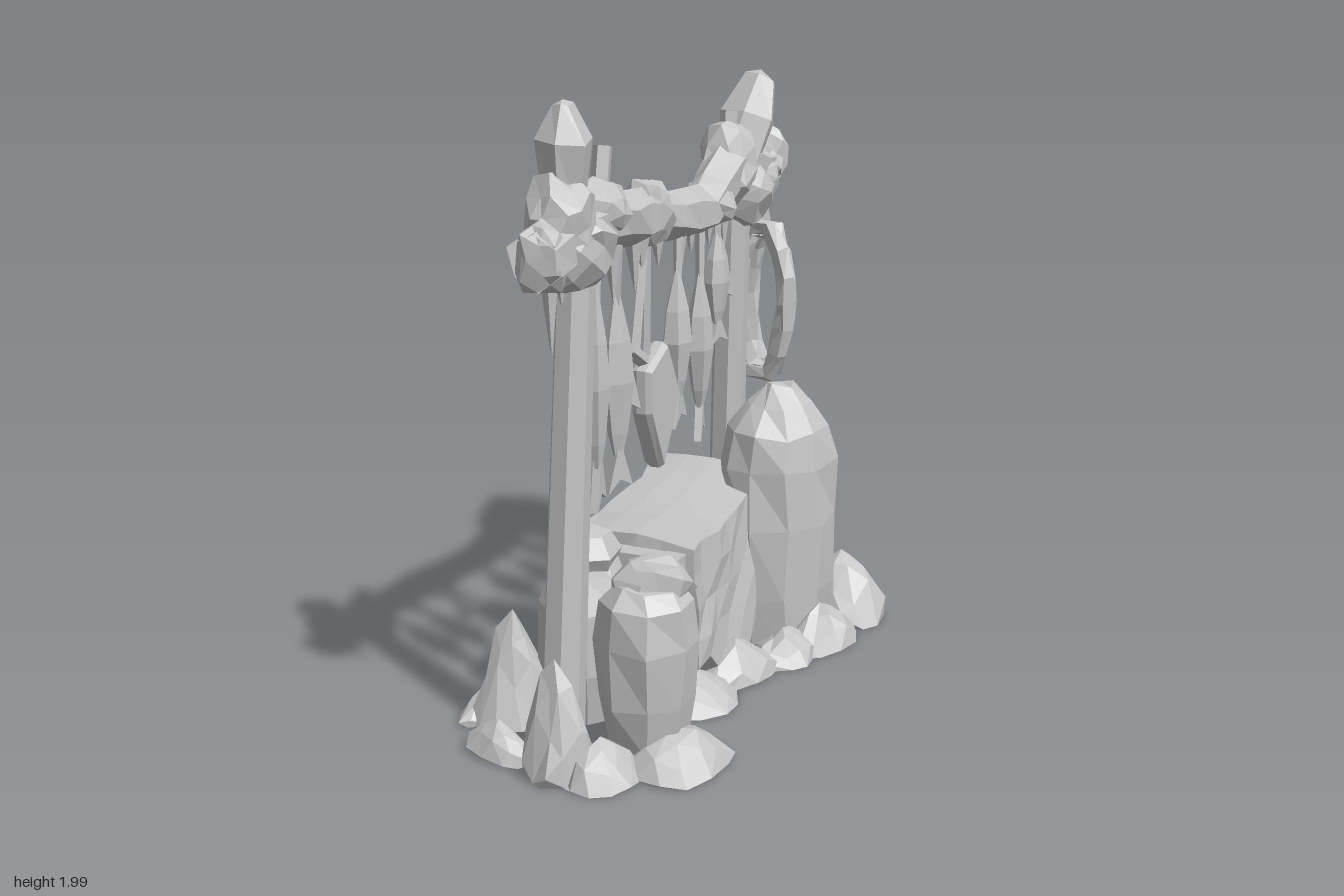
import * as THREE from 'three';

const stone = new THREE.MeshStandardMaterial({ color: 0xc4c4c4 });
stone.name = 'pale grey';
stone.flatShading = true;
stone.side = THREE.DoubleSide;

const V = (x, y, z) => new THREE.Vector3(x, y, z);
const BEAM_ANGLE = 0.354;
const onBeam = (x, y) => V(x, y, -0.05 - 0.37 * x);

// Position-based noise, so shared corners stay together
function noise(x, y, z, seed) {
  const s = Math.sin(Math.round(x * 500) * 12.9898 + Math.round(y * 500) * 78.233 + Math.round(z * 500) * 37.719 + seed * 91.7) * 43758.5453;
  return (s - Math.floor(s)) * 2 - 1;
}

function warp(geo, rule) {
  const p = geo.attributes.position, v = new THREE.Vector3();
  for (let i = 0; i < p.count; i++) {
    v.fromBufferAttribute(p, i);
    rule(v);
    p.setXYZ(i, v.x, v.y, v.z);
  }
  geo.computeVertexNormals();
  return geo;
}

function jitter(geo, amount, seed) {
  return warp(geo, v => {
    const { x, y, z } = v;
    v.set(x + amount * noise(x, y, z, seed), y + amount * noise(x, y, z, seed + 1), z + amount * noise(x, y, z, seed + 2));
  });
}

export function createModel() {
  const model = new THREE.Group();
  model.name = 'dryingRack';

  function add(name, geo, pos = V(0, 0, 0), parent = model) {
    const m = new THREE.Mesh(geo, stone);
    m.name = name;
    m.position.copy(pos);
    parent.add(m);
    return m;
  }

  // Tapered straight pole between two points
  function pole(name, a, b, ra, rb, sides = 7, parent = model) {
    const d = b.clone().sub(a);
    const m = add(name, new THREE.CylinderGeometry(rb, ra, d.length(), sides, 1), a.clone().add(b).multiplyScalar(0.5), parent);
    m.quaternion.setFromUnitVectors(V(0, 1, 0), d.normalize());
    return m;
  }

  // Faceted lump
  function lump(name, pos, rx, ry, rz, seed) {
    const geo = jitter(new THREE.IcosahedronGeometry(1, 1), 0.17, seed);
    geo.scale(rx, ry, rz);
    return add(name, geo, pos);
  }

  // Rock with a flat foot and a narrowing top
  function rock(x, z, rx, h, rz, seed) {
    const geo = jitter(new THREE.IcosahedronGeometry(1, 1), 0.13, seed);
    warp(geo, v => {
      const k = 1.05 - 0.5 * Math.max(0, v.y);
      v.set(v.x * k * rx, v.y < 0 ? Math.max(v.y, -0.1) * 0.1 : v.y * h, v.z * k * rz);
    });
    add('rock', geo, V(x, 0.015, z));
  }

  // Turned shape with a slightly irregular surface
  function turned(name, profile, sides, pos, wobble, seed) {
    const geo = new THREE.LatheGeometry(profile.map(p => new THREE.Vector2(p[0], p[1])), sides);
    return add(name, jitter(geo, wobble, seed), pos);
  }

  // Posts with their pointed heads
  pole('leftPost', V(-0.74, 0.02, 0.2), V(-0.64, 1.6, 0.195), 0.07, 0.057);
  pole('rightPost', V(0.5, 0.02, -0.29), V(0.485, 1.6, -0.235), 0.065, 0.06);
  turned('leftPostHead', [[0, 0], [0.08, 0], [0.06, 0.14], [0.085, 0.33], [0.035, 0.43], [0, 0.45]], 6, V(-0.69, 1.55, 0.2), 0.008, 2);
  const rightHead = turned('rightPostHead', [[0, 0], [0.08, 0], [0.1, 0.26], [0.06, 0.4], [0, 0.43]], 6, V(0.45, 1.58, -0.235), 0.008, 3);
  rightHead.rotation.z = -0.42;

  // Sagging crossbeam
  const beamCurve = new THREE.CatmullRomCurve3([
    [-0.87, 1.57], [-0.6, 1.62], [-0.2, 1.595], [0.2, 1.55], [0.32, 1.62], [0.45, 1.68], [0.6, 1.63], [0.74, 1.62]].map(p => onBeam(...p)));
  add('crossbeam', jitter(new THREE.TubeGeometry(beamCurve, 14, 0.08, 6), 0.01, 5));

  // Bindings, knots and stubs along the beam
  const knots = [
    [-0.66, 1.57, 0.14, 0.12, 0.12], [-0.72, 1.67, 0.1, 0.13, 0.1], [-0.83, 1.58, 0.07, 0.11, 0.08],
    [-0.51, 1.66, 0.12, 0.1, 0.09], [-0.19, 1.6, 0.05, 0.11, 0.1], [0.43, 1.67, 0.1, 0.14, 0.1],
    [0.5, 1.57, 0.12, 0.12, 0.13], [0.62, 1.6, 0.13, 0.09, 0.1], [0.71, 1.66, 0.055, 0.11, 0.1], [0.26, 1.56, 0.1, 0.08, 0.09]];
  knots.forEach(([x, y, rx, ry, rz], i) => { lump('binding', onBeam(x, y), rx, ry, rz, 10 + i).rotation.y = BEAM_ANGLE; });
  pole('leftStub', onBeam(-0.5, 1.64), onBeam(-0.465, 1.84), 0.03, 0.03, 5);
  pole('rightStub', onBeam(0.42, 1.68), onBeam(0.44, 1.85), 0.03, 0.035, 5);
  lump('beamEndCap', V(0.67, 1.67, -0.31), 0.08, 0.1, 0.08, 31);

  // Icicles under the beam
  [[-0.79, 0.25], [-0.73, 0.12], [-0.56, 0.15], [-0.42, 0.18], [-0.28, 0.17], [-0.23, 0.13], [-0.12, 0.12], [0.05, 0.16],
    [0.12, 0.12], [0.26, 0.12], [0.38, 0.17], [0.6, 0.16], [0.66, 0.13], [0.71, 0.2]].forEach(([x, l]) =>
    pole('icicle', onBeam(x, 1.54), onBeam(x + 0.01, 1.54 - l), 0.03, 0.002, 4));

  // Hanging fish: string, body, tail and fin
  function fish(x, top, bottom, w, turn) {
    const g = new THREE.Group(), len = top - bottom;
    g.name = 'hangingFish';
    g.position.copy(onBeam(x, bottom));
    g.rotation.set(0, BEAM_ANGLE + turn, 0);
    const profile = [[0.2, 0.16], [0.6, 0.3], [1, 0.55], [0.8, 0.75], [0.15, 1]].map(p => new THREE.Vector2(p[0] * w, p[1] * len));
    add('fishBody', new THREE.LatheGeometry(profile, 6).scale(1, 1, 0.65), V(0, 0, 0), g);
    const tail = new THREE.Shape([[0, 0.27], [-0.8, 0.0], [0, 0.07], [0.8, 0.03]].map(p => new THREE.Vector2(p[0] * w, p[1] * len)));
    add('fishTail', new THREE.ExtrudeGeometry(tail, { depth: 0.025, bevelEnabled: false }), V(0, 0, -0.0125), g);
    const fin = new THREE.Shape([[0.5, 0.75], [0.5, 0.45], [1.4, 0.4]].map(p => new THREE.Vector2(p[0] * w, p[1] * len)));
    add('fishFin', new THREE.ExtrudeGeometry(fin, { depth: 0.02, bevelEnabled: false }), V(0, 0, -0.01), g);
    pole('fishString', V(0, len * 0.93, 0), V(0.01, 1.57 - bottom, 0), 0.014, 0.018, 4, g);
    model.add(g);
  }
  [[-0.52, 1.44, 0.75, 0.062, 0.2], [-0.39, 1.4, 0.76, 0.058, -0.5], [0.03, 1.38, 0.86, 0.076, 0.1],
    [0.2, 1.34, 0.77, 0.074, 0.3], [0.34, 1.46, 1.06, 0.056, -0.3]].forEach(f => fish(...f));

  // Hanging shovel
  const blade = new THREE.Shape([[-0.09, 0.13], [0.03, 0.19], [0.12, 0.02], [0, -0.19], [-0.09, 0]].map(p => new THREE.Vector2(...p)));
  const shovel = add('shovelBlade', new THREE.ExtrudeGeometry(blade, { depth: 0.03, bevelEnabled: true, bevelSize: 0.01, bevelThickness: 0.02, bevelSegments: 1 }), onBeam(-0.17, 0.98));
  shovel.rotation.y = BEAM_ANGLE;
  pole('shovelHandle', onBeam(-0.16, 1.1), onBeam(-0.32, 1.2), 0.025, 0.025, 5);
  pole('shovelRope', onBeam(-0.27, 1.17), onBeam(-0.19, 1.57), 0.02, 0.015, 4);
  pole('shovelRope', onBeam(-0.19, 1.14), onBeam(-0.18, 1.57), 0.015, 0.015, 4);

  // Coiled rope hung beside the right post
  [[0.61, 0.12, 0.28, 0.05], [0.66, 0.11, 0.27, -0.12], [0.64, 0.08, 0.25, 0.15]].forEach(([x, rz, ry, tilt], i) => {
    const pts = [...Array(10)].map((_, k) => {
      const a = k / 10 * Math.PI * 2;
      return V(tilt * Math.cos(a) * 0.3, ry * Math.sin(a), rz * Math.cos(a));
    });
    const ring = new THREE.TubeGeometry(new THREE.CatmullRomCurve3(pts, true), 14, 0.032, 5, true);
    add('ropeCoil', jitter(ring, 0.008, 40 + i), V(x, 1.17, -0.23));
  });
  pole('coilTie', V(0.64, 1.4, -0.23), V(0.62, 1.6, -0.26), 0.035, 0.035, 5);

  // Chest with a draped cover, aligned to the beam
  const chest = new THREE.Group();
  chest.name = 'chest';
  chest.position.set(0.05, 0, -0.12);
  chest.rotation.y = BEAM_ANGLE;
  model.add(chest);
  add('chestBody', new THREE.BoxGeometry(0.74, 0.5, 0.38), V(0, 0.265, 0), chest);
  const cover = new THREE.BoxGeometry(0.68, 0.44, 0.41, 7, 4, 4);
  warp(cover, v => {
    const { x, y, z } = v;
    if (y > 0.2) v.y += 0.07 * Math.max(0, x + 0.1) / 0.43 + 0.1 * (0.12 - Math.abs(z + 0.05));
    if (y < -0.2) v.y += 0.07 * noise(x, 0, z, 51) - 0.02;
    // Cloth spreads towards its hem at the front
    if (z > 0.2) v.z += 0.08 * (0.22 - y);
    v.x += 0.018 * noise(x, y, z, 52);
    v.z += 0.016 * noise(x, y, z, 53);
  });
  add('chestCover', cover, V(0.03, 0.33, 0.01), chest);
  [-1, 1].forEach(s => add('chestCorner', new THREE.BoxGeometry(0.07, 0.5, 0.07), V(-0.345, 0.27, s * 0.165), chest));

  // Tall sack, front sack and lidded pot
  turned('tallSack', [[0, 0.02], [0.2, 0.03], [0.215, 0.2], [0.22, 0.45], [0.212, 0.65], [0.185, 0.77], [0.12, 0.86], [0.05, 0.92], [0, 0.93]], 10, V(0.49, 0, -0.02), 0.012, 60).scale.z = 0.88;
  turned('frontSack', [[0, 0.03], [0.12, 0.05], [0.15, 0.2], [0.16, 0.38], [0.145, 0.51], [0.1, 0.56], [0, 0.57]], 8, V(-0.51, 0, 0.34), 0.008, 61);
  lump('frontSackTop', V(-0.48, 0.53, 0.33), 0.13, 0.1, 0.13, 62);
  turned('pot', [[0, 0.02], [0.12, 0.03], [0.155, 0.2], [0.155, 0.4], [0.11, 0.5], [0.09, 0.56]], 8, V(-0.45, 0, 0.01), 0.006, 63);
  turned('potLid', [[0, 0.51], [0.1, 0.52], [0.125, 0.57], [0.08, 0.63], [0, 0.66]], 7, V(-0.46, 0, 0.01), 0.006, 64);

  // Rocks around the foot: x, z, half width, height, half depth
  [[-0.79, 0.24, 0.11, 0.34, 0.12], [-0.5, 0.45, 0.18, 0.12, 0.15], [-0.83, 0.02, 0.07, 0.1, 0.14], [-0.6, -0.22, 0.2, 0.12, 0.08],
    [-0.63, -0.15, 0.14, 0.33, 0.11], [-0.72, 0.36, 0.13, 0.11, 0.11], [-0.35, 0.18, 0.13, 0.1, 0.09], [-0.16, 0.19, 0.18, 0.11, 0.12],
    [0.1, 0.14, 0.18, 0.12, 0.11], [0.32, 0.16, 0.14, 0.1, 0.1], [0.5, 0.17, 0.18, 0.13, 0.09], [0.78, 0.04, 0.15, 0.26, 0.18],
    [0.67, -0.26, 0.2, 0.41, 0.26], [0.4, -0.42, 0.26, 0.33, 0.19], [0.52, -0.29, 0.15, 0.52, 0.14], [0.17, -0.43, 0.15, 0.17, 0.11],
    [-0.37, -0.22, 0.1, 0.08, 0.08]].forEach((r, i) => rock(...r, 70 + i * 3));

  return model;
}
